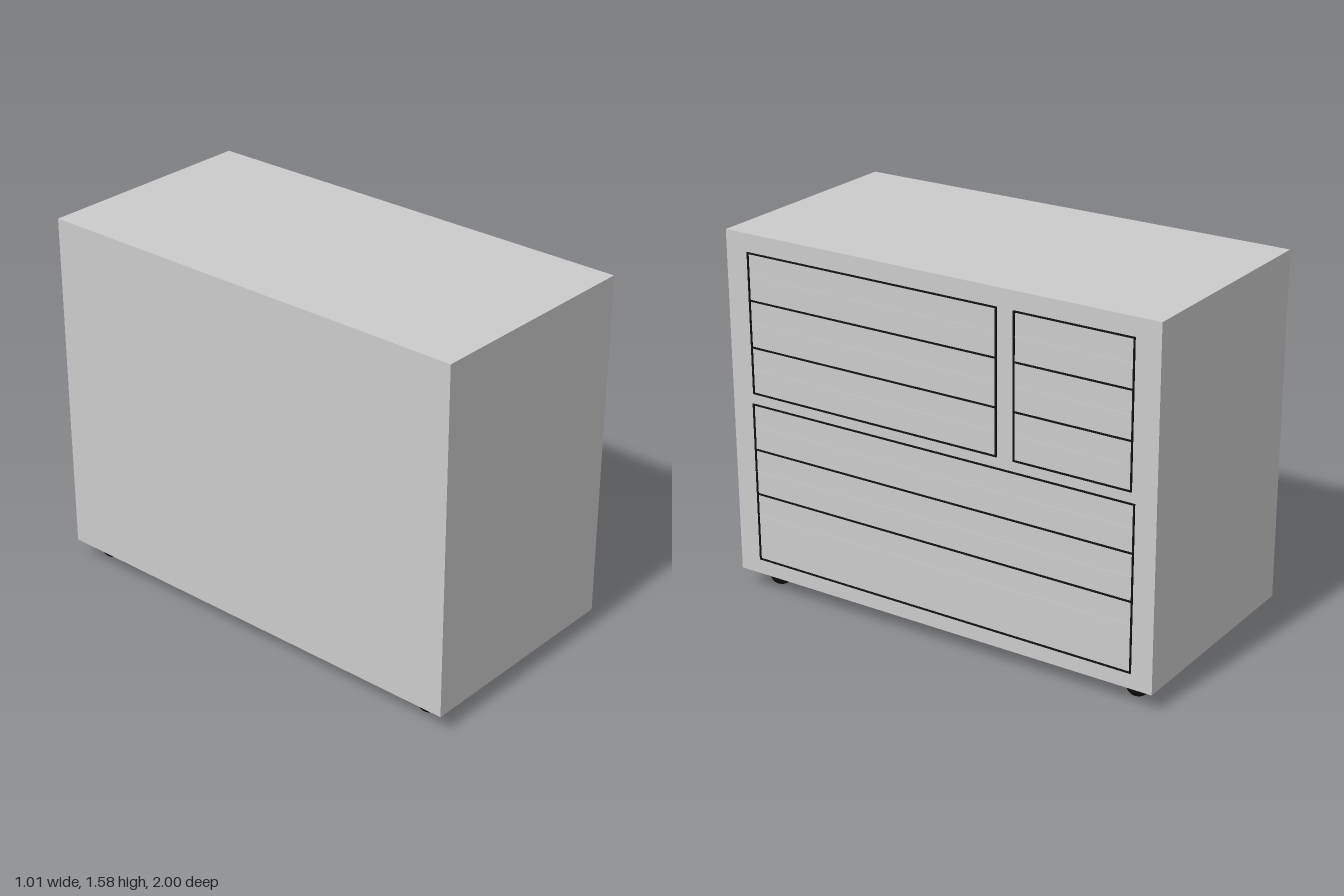
import * as THREE from 'three';

const BODY = new THREE.MeshStandardMaterial({ color: 0xcccccc });
const BLACK = new THREE.MeshStandardMaterial({ color: 0x111111 });
const FACE_X = 0.497; // drawer side of the cabinet
const LINE = 0.006; // width and depth of the drawer seams

function box(name, size, position, material) {
  const mesh = new THREE.Mesh(new THREE.BoxGeometry(...size), material);
  mesh.name = name;
  mesh.position.set(...position);
  return mesh;
}

// A stack of drawers: seams at each height, a seam down each side, a low lip on each drawer
function drawerStack(name, zFront, zBack, heights) {
  const stack = new THREE.Group();
  stack.name = name;
  const width = zFront - zBack;
  const zMid = (zFront + zBack) / 2;
  const top = heights[0];
  const bottom = heights[heights.length - 1];

  heights.forEach((y, i) => {
    stack.add(box('drawerSeam', [LINE, LINE, width], [FACE_X + LINE / 2, y, zMid], BLACK));
    if (i < heights.length - 1) {
      stack.add(box('drawerLip', [0.002, 0.004, width - LINE], [FACE_X + 0.001, y - 0.1, zMid], BODY));
    }
  });
  for (const z of [zFront, zBack]) {
    stack.add(box('sideSeam', [LINE, top - bottom + LINE, LINE], [FACE_X + LINE / 2, (top + bottom) / 2, z], BLACK));
  }
  return stack;
}

export function createModel() {
  const model = new THREE.Group();
  model.name = 'drawerCabinet';

  // Cabinet
  model.add(box('cabinetBody', [1, 1.5, 2], [FACE_X - 0.5, 0.08 + 0.75, 0], BODY));

  // Drawers
  model.add(drawerStack('upperWideDrawers', 0.89, -0.295, [1.5, 1.3, 1.1, 0.9]));
  model.add(drawerStack('upperNarrowDrawers', -0.375, -0.89, [1.5, 1.3, 1.1, 0.9]));
  model.add(drawerStack('lowerDrawers', 0.895, -0.905, [0.85, 0.65, 0.45, 0.15]));

  // Ball feet
  const ball = new THREE.SphereGeometry(0.05, 32, 16);
  for (const x of [-0.405, 0.395]) {
    for (const z of [0.87, -0.885]) {
      const foot = new THREE.Mesh(ball, BLACK);
      foot.name = 'ballFoot';
      foot.position.set(x, 0.05, z);
      model.add(foot);
    }
  }
  return model;
}
